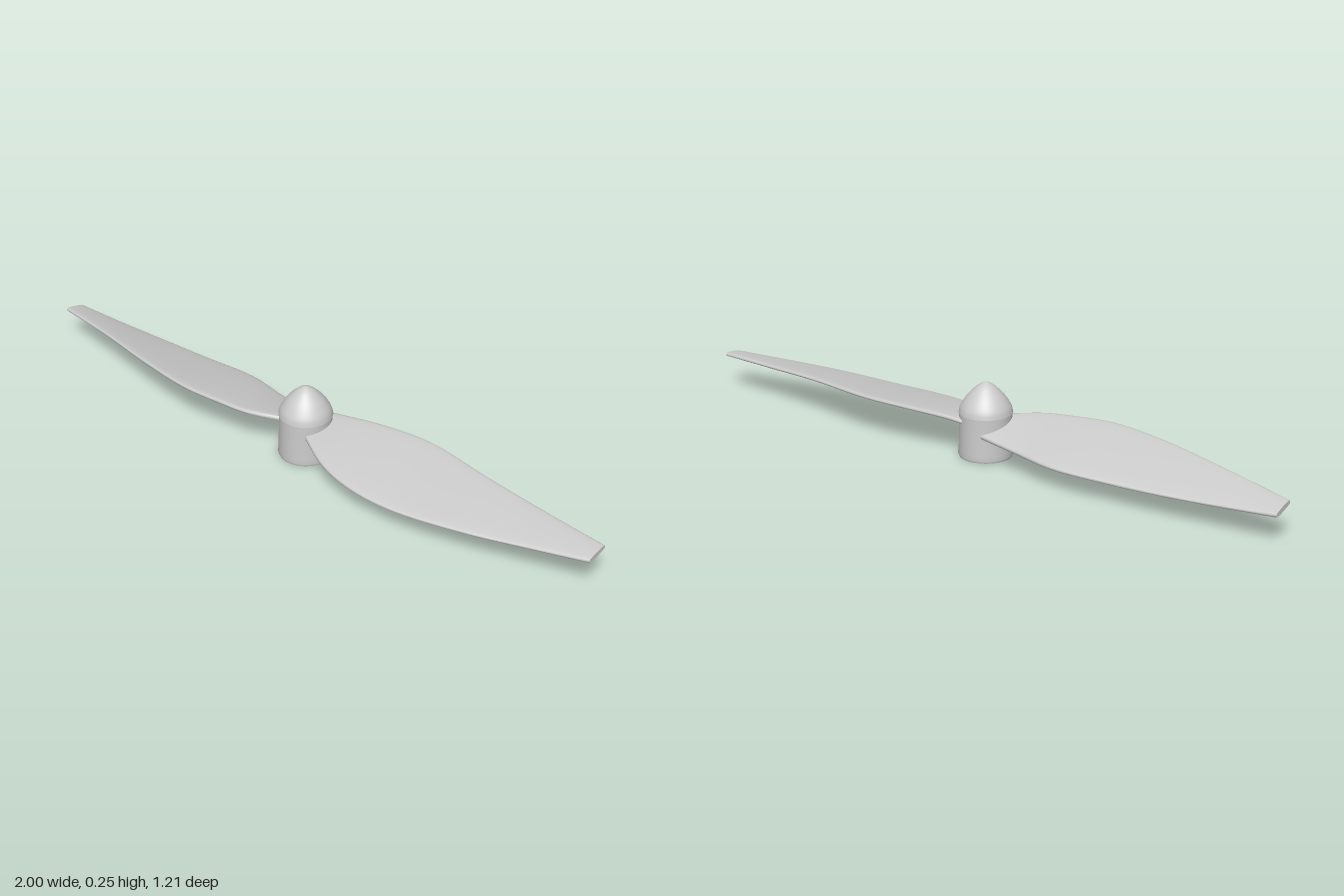
import * as THREE from 'three';

const material = new THREE.MeshStandardMaterial({ color: 0xcccccc });
const shellMaterial = new THREE.MeshStandardMaterial({ color: 0xcccccc, side: THREE.DoubleSide });
const HUB = { x: -0.013, z: 0.018 };

// Matching stations [x, y, z], root to tip, along the upper and lower edge of each blade
const BLADES = {
  leftBlade: {
    high: [[0.03, 0.122, -0.045], [0.12, 0.134, -0.012], [0.245, 0.143, 0.03], [0.41, 0.148, 0.105],
      [0.62, 0.144, 0.265], [0.81, 0.136, 0.4], [1, 0.13, 0.53]],
    low: [[-0.01, 0.11, 0.085], [0.085, 0.097, 0.235], [0.19, 0.087, 0.33], [0.33, 0.083, 0.41],
      [0.57, 0.095, 0.5], [0.765, 0.106, 0.552], [0.96, 0.116, 0.6]],
  },
  rightBlade: {
    high: [[-0.08, 0.132, 0.045], [-0.21, 0.143, 0.04], [-0.315, 0.15, 0.005], [-0.44, 0.156, -0.05],
      [-0.61, 0.153, -0.18], [-0.8, 0.14, -0.355], [-1, 0.119, -0.535]],
    low: [[0, 0.09, -0.065], [-0.13, 0.082, -0.17], [-0.26, 0.078, -0.28], [-0.45, 0.076, -0.375],
      [-0.62, 0.079, -0.455], [-0.79, 0.086, -0.53], [-0.96, 0.096, -0.605]],
  },
};

const curve = (pts) => new THREE.CatmullRomCurve3(pts.map((p) => new THREE.Vector3(...p)));

// Skins a thin, round-edged section between two edge curves and closes both ends
function bladeGeometry({ high, low }, steps = 48, sides = 32) {
  const highEdge = curve(high), lowEdge = curve(low);
  const positions = [], index = [];
  const up = new THREE.Vector3(0, 1, 0), side = new THREE.Vector3();
  for (let i = 0; i <= steps; i++) {
    const t = i / steps;
    const a = highEdge.getPoint(t), b = lowEdge.getPoint(t);
    const mid = a.clone().add(b).multiplyScalar(0.5);
    const half = a.clone().sub(b).multiplyScalar(0.5);
    side.copy(half).normalize();
    const normal = up.clone().addScaledVector(side, -side.y).normalize();
    const thickness = THREE.MathUtils.lerp(0.013, 0.009, t);
    for (let j = 0; j < sides; j++) {
      const angle = (j / sides) * Math.PI * 2;
      const s = Math.sin(angle);
      const p = mid.clone().addScaledVector(half, Math.cos(angle))
        .addScaledVector(normal, Math.sign(s) * Math.sqrt(Math.abs(s)) * thickness);
      positions.push(p.x, p.y, p.z);
    }
  }
  for (let i = 0; i < steps; i++) {
    for (let j = 0; j < sides; j++) {
      const k = (j + 1) % sides;
      const p = i * sides + j, q = i * sides + k;
      index.push(p, q, p + sides, q, q + sides, p + sides);
    }
  }
  // End caps use their own rim vertices so the edge stays sharp
  for (const row of [0, steps]) {
    const base = positions.length / 3;
    positions.push(...positions.slice(row * sides * 3, (row + 1) * sides * 3));
    for (let j = 1; j < sides - 1; j++) {
      if (row) index.push(base, base + j, base + j + 1);
      else index.push(base, base + j + 1, base + j);
    }
  }
  const geometry = new THREE.BufferGeometry();
  geometry.setAttribute('position', new THREE.Float32BufferAttribute(positions, 3));
  geometry.setIndex(index);
  geometry.computeVertexNormals();
  return geometry;
}

export function createModel() {
  const model = new THREE.Group();
  model.name = 'propeller';

  const add = (name, geometry, mat) => {
    const mesh = new THREE.Mesh(geometry, mat);
    mesh.name = name;
    model.add(mesh);
    return mesh;
  };
  const lathe = (name, pts) => {
    const geometry = new THREE.LatheGeometry(pts.map((p) => new THREE.Vector2(...p)), 48);
    add(name, geometry, shellMaterial).position.set(HUB.x, 0, HUB.z);
  };

  // Hollow hub sleeve, open underneath, with a slightly flared foot
  lathe('hubSleeve', [[0.089, 0], [0.092, 0.008], [0.09, 0.022], [0.088, 0.15]]);

  // Rounded nose cone with a flat base
  const nose = new THREE.SplineCurve([[0.09, 0.15], [0.084, 0.172], [0.067, 0.2], [0.05, 0.22],
    [0.03, 0.239], [0.012, 0.25], [0, 0.254]].map((p) => new THREE.Vector2(...p)));
  lathe('noseCone', nose.getPoints(24).map((p) => [Math.max(p.x, 0), p.y]));
  const base = new THREE.CircleGeometry(0.09, 48).rotateX(Math.PI / 2);
  add('noseConeBase', base, shellMaterial).position.set(HUB.x, 0.15, HUB.z);

  // Twisted blades
  for (const [name, edges] of Object.entries(BLADES)) add(name, bladeGeometry(edges), material);

  return model;
}
